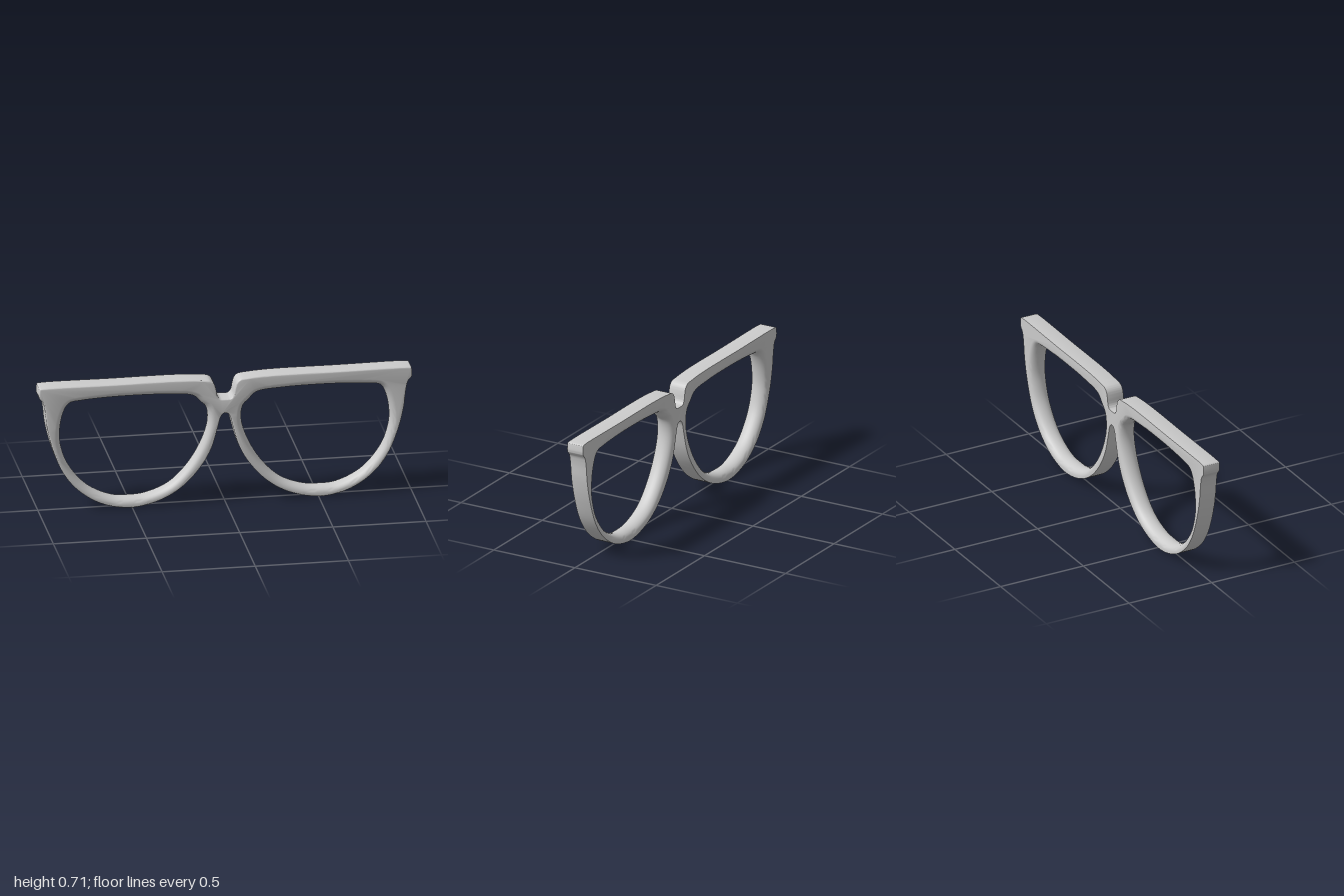
import * as THREE from 'three';
import { mergeGeometries, toCreasedNormals } from 'three/addons/utils/BufferGeometryUtils.js';

const HALF = 0.05;   // half the frame depth
const BEVEL = 0.008; // rounding of the outer front edge
const RIM = 0.034;   // width of the rounding towards each lens

// Half of the outer outline, from the top of the bridge round to its underside
const outline = [
  [0, 0.585], [0.03, 0.588], [0.043, 0.605], [0.05, 0.64], [0.06, 0.672], [0.078, 0.69], [0.13, 0.698],
  [0.25, 0.705], [0.6, 0.705], [0.985, 0.705], [0.997, 0.702], [1, 0.69], [1, 0.652], [0.98, 0.625],
  [0.969, 0.58], [0.957, 0.48], [0.925, 0.35], [0.87, 0.217], [0.79, 0.115], [0.67, 0.035],
  [0.51, 0], [0.345, 0.035], [0.23, 0.103], [0.135, 0.205], [0.075, 0.31], [0.04, 0.43],
  [0.026, 0.482], [0.014, 0.5], [0, 0.505],
];

// Lens opening, clockwise from the middle of its top edge
const opening = [
  [0.5, 0.625], [0.65, 0.622], [0.77, 0.614], [0.835, 0.602], [0.867, 0.545], [0.885, 0.43], [0.875, 0.35],
  [0.837, 0.25], [0.735, 0.128], [0.6, 0.062], [0.51, 0.055], [0.425, 0.062], [0.3, 0.112],
  [0.195, 0.217], [0.12, 0.35], [0.09, 0.46], [0.1, 0.535], [0.13, 0.567], [0.17, 0.604], [0.3, 0.62],
];

const mirror = (pts) => pts.map(([x, y]) => [-x, y]).reverse();

function smoothLoop(pts, count) {
  const curve = new THREE.CatmullRomCurve3(pts.map(([x, y]) => new THREE.Vector3(x, y, 0)), true, 'centripetal');
  return curve.getPoints(count).slice(0, -1).map((p) => new THREE.Vector2(p.x, p.y));
}

// Moves a loop away from the material (positive) or into it (negative)
function offset(loop, d) {
  const n = loop.length;
  return loop.map((p, i) => {
    const t = loop[(i + 1) % n].clone().sub(loop[(i + n - 1) % n]).normalize();
    return new THREE.Vector2(p.x + t.y * d, p.y - t.x * d);
  });
}

// Skin over copies of a loop, each row given as [offset, z], from back to front
function skin(loop, rows) {
  const n = loop.length;
  const position = rows.flatMap(([d, z]) => offset(loop, d).flatMap((p) => [p.x, p.y, z]));
  const index = [];
  for (let r = 0; r < rows.length - 1; r++) {
    for (let i = 0; i < n; i++) {
      const a = r * n + i, b = r * n + (i + 1) % n;
      index.push(a, b, b + n, a, b + n, a + n);
    }
  }
  const g = new THREE.BufferGeometry();
  g.setAttribute('position', new THREE.Float32BufferAttribute(position, 3));
  g.setIndex(index);
  return g.toNonIndexed();
}

// Flat face between the outer loop and the lens openings
function cap(outer, holes) {
  const shape = new THREE.Shape(outer);
  shape.holes = holes.map((h) => new THREE.Path(h));
  const g = new THREE.ShapeGeometry(shape).toNonIndexed();
  g.deleteAttribute('uv');
  g.deleteAttribute('normal');
  return g.translate(0, 0, HALF);
}

export function createModel() {
  const outer = smoothLoop([...mirror(outline).slice(0, -1), ...outline.slice(0, -1)].reverse(), 56 * 5);
  const lenses = [opening, mirror(opening)].map((p) => smoothLoop(p, 100));
  const rims = lenses.map((l) => offset(l, -RIM));

  // Outer wall: sharp at the back, softly rounded at the front
  const wall = [[0, -HALF]];
  for (let i = 0; i <= 3; i++) {
    const a = i / 3 * Math.PI / 2;
    wall.push([BEVEL * (Math.cos(a) - 1), HALF + BEVEL * (Math.sin(a) - 1)]);
  }

  // Half-round rim towards the lens
  const round = [];
  for (let i = 0; i <= 12; i++) {
    const a = (i / 12 - 0.5) * Math.PI;
    round.push([RIM * (Math.cos(a) - 1), HALF * Math.sin(a)]);
  }

  const geometry = mergeGeometries([
    skin(outer, wall),
    ...lenses.map((l) => skin(l, round)),
    cap(offset(outer, -BEVEL), rims),
    cap(outer, rims).rotateY(Math.PI),
  ]);
  const frame = new THREE.Mesh(
    toCreasedNormals(geometry, 0.7),
    new THREE.MeshStandardMaterial({ color: 0xcccccc }),
  );
  frame.name = 'glassesFrame';

  const group = new THREE.Group();
  group.name = 'glasses';
  group.add(frame);
  return group;
}
